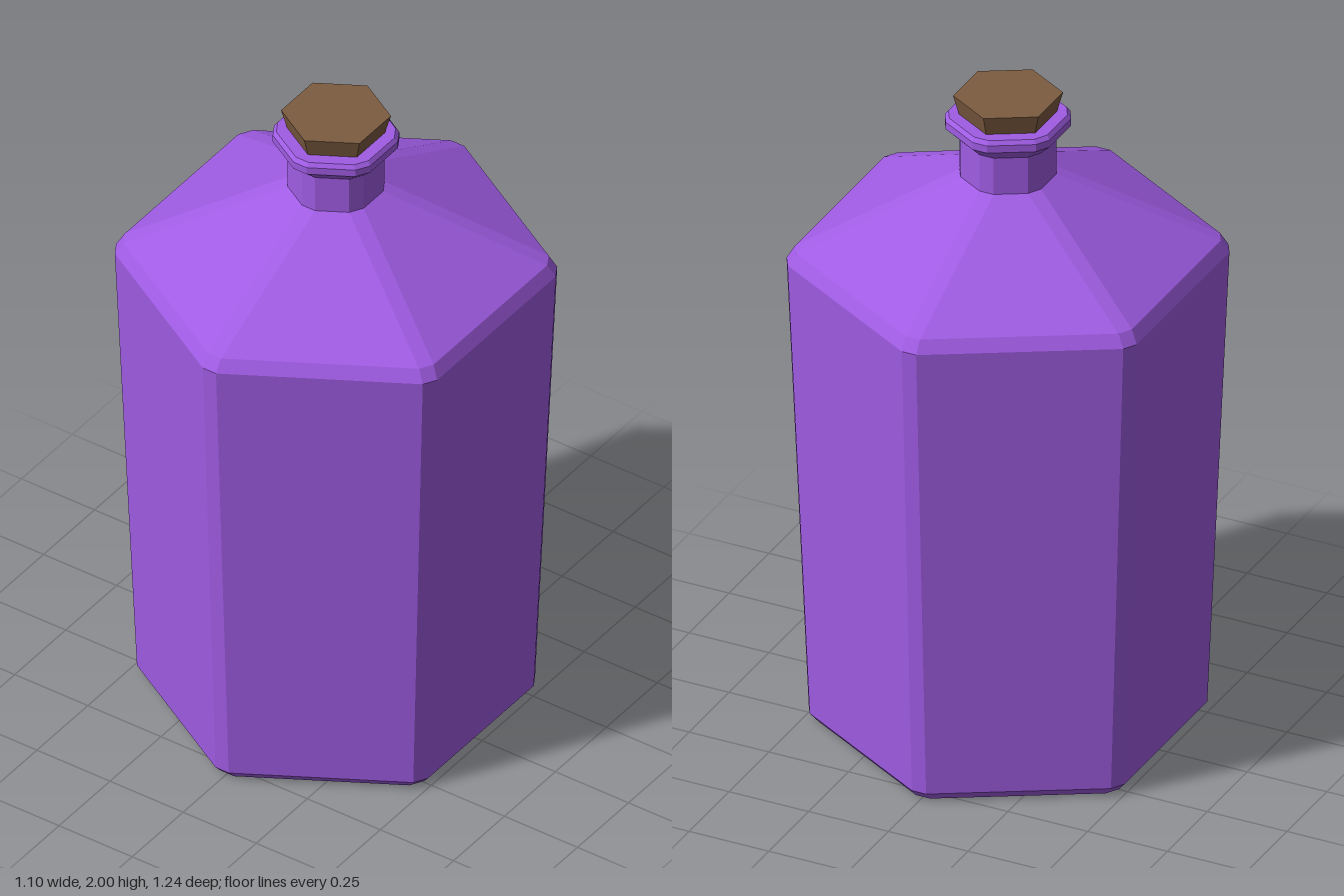
import * as THREE from 'three';

const BEVEL = 0.0225; // half width of the chamfer on each vertical edge

// Hexagon ring with corners on +-z; a chamfer turns each corner into two points.
function hexRing(y, apothem, bevel) {
  const points = [];
  const reach = apothem / Math.cos(Math.PI / 6) - bevel / Math.sqrt(3);
  for (let i = 0; i < 6; i++) {
    const angle = (i * Math.PI) / 3;
    for (const side of bevel > 0 ? [-bevel, bevel] : [0]) {
      points.push(new THREE.Vector3(side, y, reach).applyAxisAngle(new THREE.Vector3(0, 1, 0), angle));
    }
  }
  return points;
}

// Closed loft through a profile of [height, apothem] pairs, bottom to top.
function hexLoft(name, profile, bevel, material) {
  const rings = profile.map(([y, apothem]) => hexRing(y, apothem, bevel));
  const n = rings[0].length;
  const triangles = [];
  for (let r = 0; r < rings.length - 1; r++) {
    const low = rings[r], high = rings[r + 1];
    for (let i = 0; i < n; i++) {
      const j = (i + 1) % n;
      triangles.push(low[i], low[j], high[j], low[i], high[j], high[i]);
    }
  }
  // end caps
  const bottom = rings[0], top = rings[rings.length - 1];
  for (let i = 1; i < n - 1; i++) {
    triangles.push(bottom[0], bottom[i + 1], bottom[i], top[0], top[i], top[i + 1]);
  }
  const geometry = new THREE.BufferGeometry().setFromPoints(triangles);
  geometry.computeVertexNormals();
  const mesh = new THREE.Mesh(geometry, material);
  mesh.name = name;
  return mesh;
}

export function createModel() {
  const glass = new THREE.MeshStandardMaterial({ color: 0xa05ce4, flatShading: true });
  const corkMaterial = new THREE.MeshStandardMaterial({ color: 0x7d5c41, flatShading: true });

  const model = new THREE.Group();
  model.name = 'bottle';

  // body, sloping shoulder, neck and lip
  model.add(hexLoft('glassBottle', [
    [0, 0.472],
    [0.028, 0.495],
    [1.48, 0.549],
    [1.518, 0.528],
    [1.75, 0.128],
    [1.867, 0.128],
    [1.905, 0.164],
    [1.928, 0.164],
    [1.94, 0.155],
  ], BEVEL, glass));

  // tapered stopper, partly sunk into the neck
  model.add(hexLoft('cork', [[1.86, 0.1], [2, 0.134]], 0, corkMaterial));

  return model;
}
